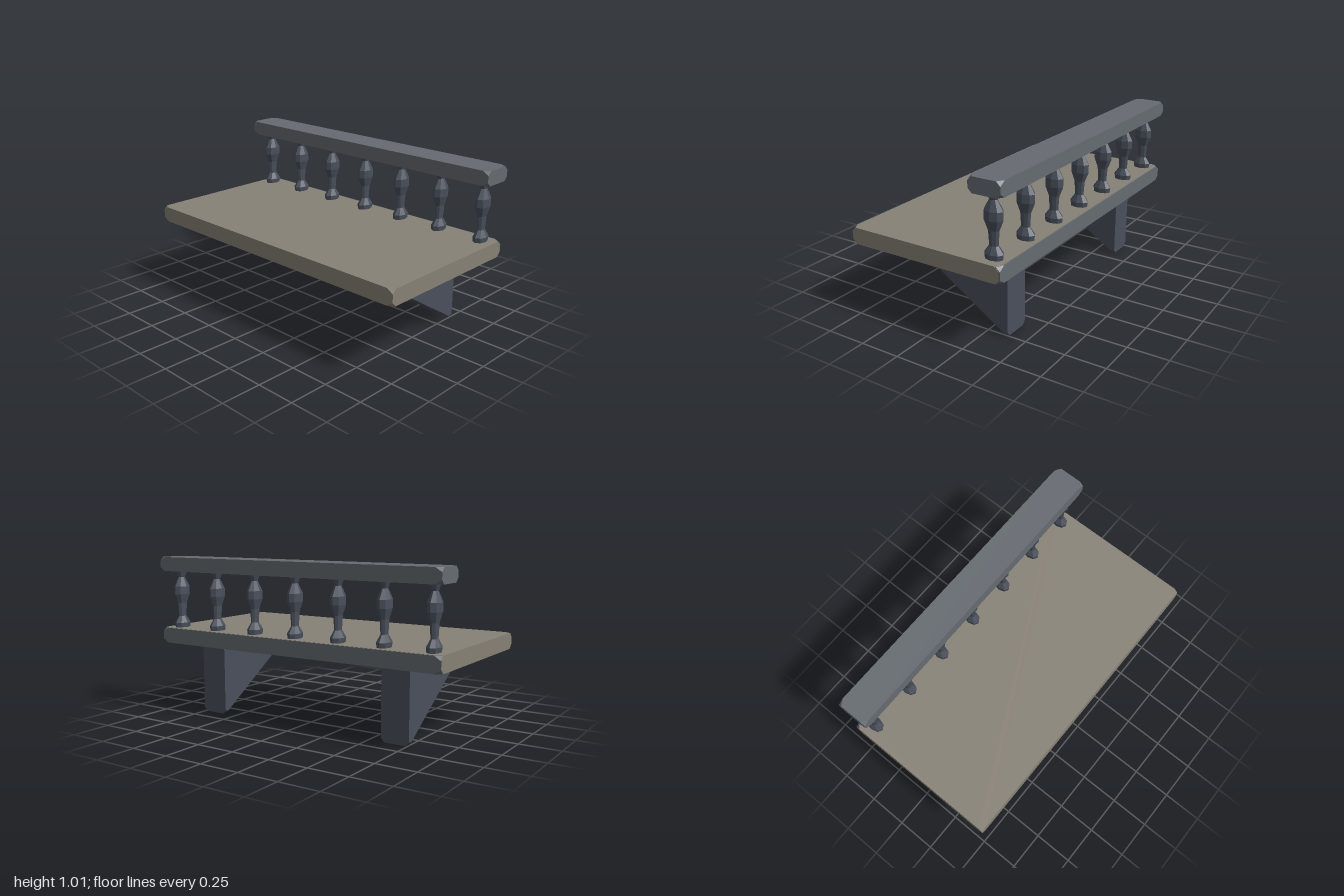
import * as THREE from 'three';
import { ConvexGeometry } from 'three/addons/geometries/ConvexGeometry.js';

const mat = (color) => new THREE.MeshStandardMaterial({ color, flatShading: true });

// Box between two corners with its eight corners cut off
function cutBox(min, max, cut) {
  const pts = [];
  for (const i of [0, 1]) for (const j of [0, 1]) for (const k of [0, 1]) {
    const side = [i, j, k];
    const corner = side.map((s, a) => (s ? max[a] : min[a]));
    for (let a = 0; a < 3; a++) {
      const p = [...corner];
      p[a] += side[a] ? -cut[a] : cut[a];
      pts.push(new THREE.Vector3(...p));
    }
  }
  return new ConvexGeometry(pts);
}

// Wedge under the floor, with clipped corners along its back
function bracketGeometry() {
  const pts = [];
  for (const s of [-1, 1]) {
    pts.push(
      [s * 0.09, 0.452, 0.32],
      [s * 0.09, 0.452, -0.36], [s * 0.09, 0.425, -0.388], [s * 0.065, 0.452, -0.388],
      [s * 0.09, 0.018, -0.36], [s * 0.09, 0.025, -0.388], [s * 0.068, 0, -0.388]
    );
  }
  return new ConvexGeometry(pts.map((p) => new THREE.Vector3(...p)));
}

export function createModel() {
  const group = new THREE.Group();
  const stone = mat(0x878175), rail = mat(0x666b71), dark = mat(0x494f5b);
  const add = (name, geometry, material, x = 0, y = 0, z = 0) => {
    const mesh = new THREE.Mesh(geometry, material);
    mesh.name = name;
    mesh.position.set(x, y, z);
    group.add(mesh);
    return mesh;
  };

  // Floor and the two rails
  const cut = [0.04, 0.025, 0.025];
  add('floorSlab', cutBox([-1, 0.452, -0.495], [1, 0.552, 0.513], cut), stone);
  add('bottomRail', cutBox([-0.999, 0.453, -0.503], [0.999, 0.551, -0.33], cut), rail);
  add('topRail', cutBox([-1, 0.922, -0.512], [1, 1.012, -0.313], cut), rail);

  // Row of turned balusters, narrower across than deep
  const profile = [
    [0, 0.545], [0.055, 0.545], [0.06, 0.582], [0.029, 0.625], [0.035, 0.71],
    [0.059, 0.77], [0.059, 0.82], [0.025, 0.88], [0.046, 0.925], [0, 0.925]
  ].map((p) => new THREE.Vector2(...p));
  const balusterGeometry = new THREE.LatheGeometry(profile, 8).scale(0.68, 1, 1);
  for (let i = -3; i <= 3; i++) add('baluster', balusterGeometry, dark, i * 0.305, 0, -0.411);

  // Supporting brackets
  const bracket = bracketGeometry();
  add('leftBracket', bracket, dark, 0.67);
  add('rightBracket', bracket, dark, -0.67);

  return group;
}
